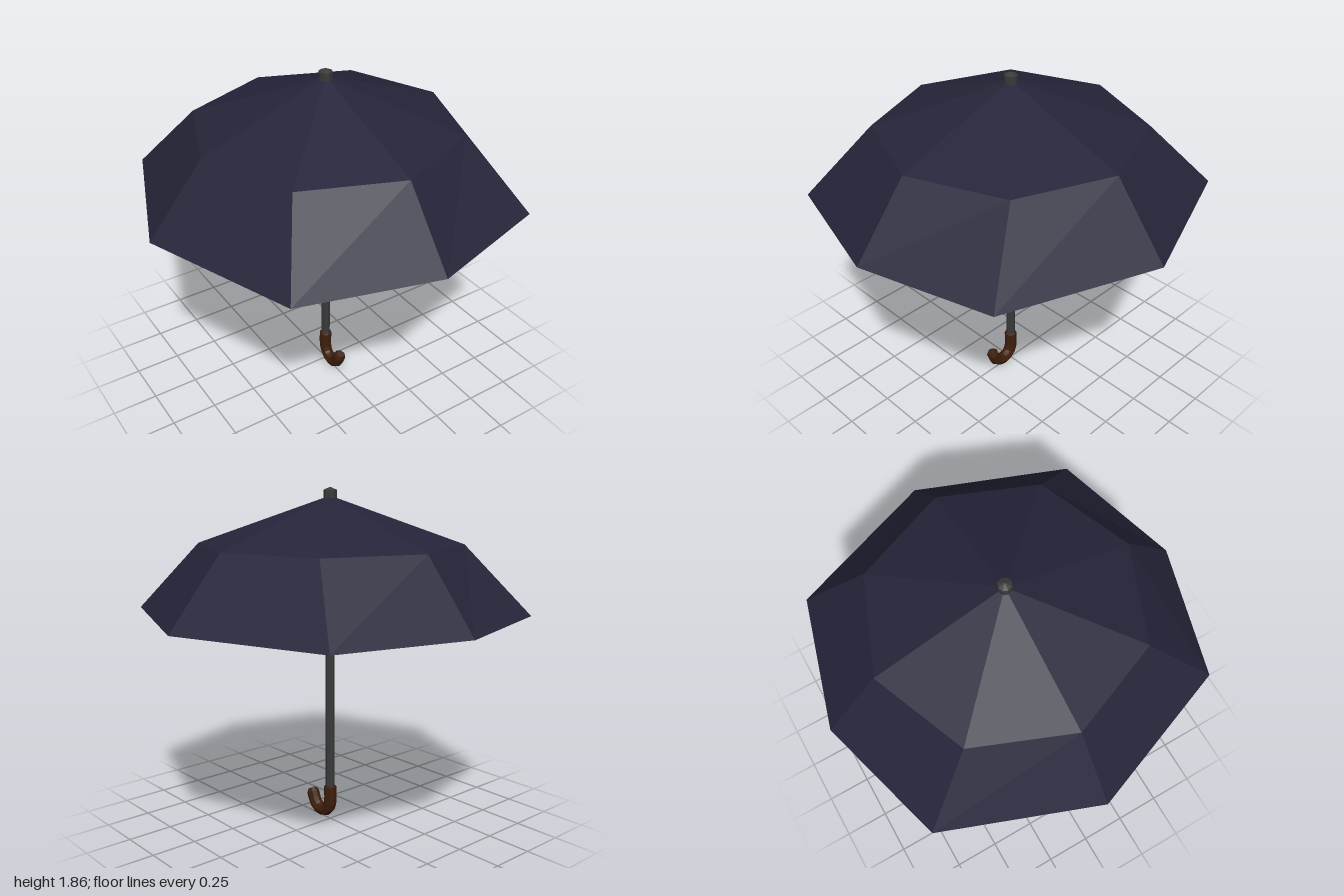
import * as THREE from 'three';

const mat = (name, color, extra = {}) => {
  const m = new THREE.MeshStandardMaterial({ color, flatShading: true, ...extra });
  m.name = name;
  return m;
};

// Canopy panels: apex, then an eight-cornered middle ring and rim
function canopyGeometry() {
  const ring = (axis, cornerX, cornerZ, y) => [
    [axis, y, 0], [cornerX, y, cornerZ], [0, y, axis], [-cornerX, y, cornerZ],
    [-axis, y, 0], [-cornerX, y, -cornerZ], [0, y, -axis], [cornerX, y, -cornerZ],
  ];
  const apex = [0, 1.82, 0];
  const middle = ring(0.7, 0.5, 0.5, 1.57);
  const rim = ring(1, 0.7, 0.8, 1.205);
  const points = [];
  for (let i = 0; i < 8; i++) {
    const j = (i + 1) % 8;
    points.push(apex, middle[j], middle[i]);
    points.push(middle[i], middle[j], rim[j], middle[i], rim[j], rim[i]);
  }
  const geometry = new THREE.BufferGeometry();
  geometry.setAttribute('position', new THREE.Float32BufferAttribute(points.flat(), 3));
  geometry.computeVertexNormals();
  return geometry;
}

export function createModel() {
  const fabric = mat('navy fabric', 0x25253a, { side: THREE.DoubleSide });
  const metal = mat('dark metal', 0x3a3a3a);
  const wood = mat('brown wood', 0x3d1f0c);
  const model = new THREE.Group();
  model.name = 'umbrella';

  const add = (name, geometry, material) => {
    const mesh = new THREE.Mesh(geometry, material);
    mesh.name = name;
    model.add(mesh);
    return mesh;
  };

  add('canopy', canopyGeometry(), fabric);

  // Straight pole
  add('shaft', new THREE.CylinderGeometry(0.025, 0.025, 1.6, 8), metal).position.y = 0.98;

  // Tip cap that flares out of the pole and ends in a shallow point
  const capProfile = [[0.025, 1.69], [0.035, 1.8], [0.035, 1.85], [0, 1.865]];
  add('tipCap', new THREE.LatheGeometry(capProfile.map(([r, y]) => new THREE.Vector2(r, y)), 8), metal);

  // Hooked handle curling to the front
  const path = [[0.2, 0], [0.1, 0], [0.055, 0.022], [0.04, 0.07], [0.06, 0.118], [0.125, 0.15]];
  const curve = new THREE.CatmullRomCurve3(path.map(([y, z]) => new THREE.Vector3(0, y, z)));
  add('handle', new THREE.TubeGeometry(curve, 10, 0.035, 8), wood);

  // Shallow caps closing both ends of the handle
  for (const [name, t, sign, height] of [['handleCollar', 0, -1, 0.006], ['handleEnd', 1, 1, 0.022]]) {
    const cap = add(name, new THREE.CylinderGeometry(0.022, 0.035, height, 8), wood);
    const direction = curve.getTangentAt(t).multiplyScalar(sign);
    cap.quaternion.setFromUnitVectors(new THREE.Vector3(0, 1, 0), direction);
    cap.position.copy(curve.getPointAt(t)).addScaledVector(direction, height / 2);
  }
  return model;
}
